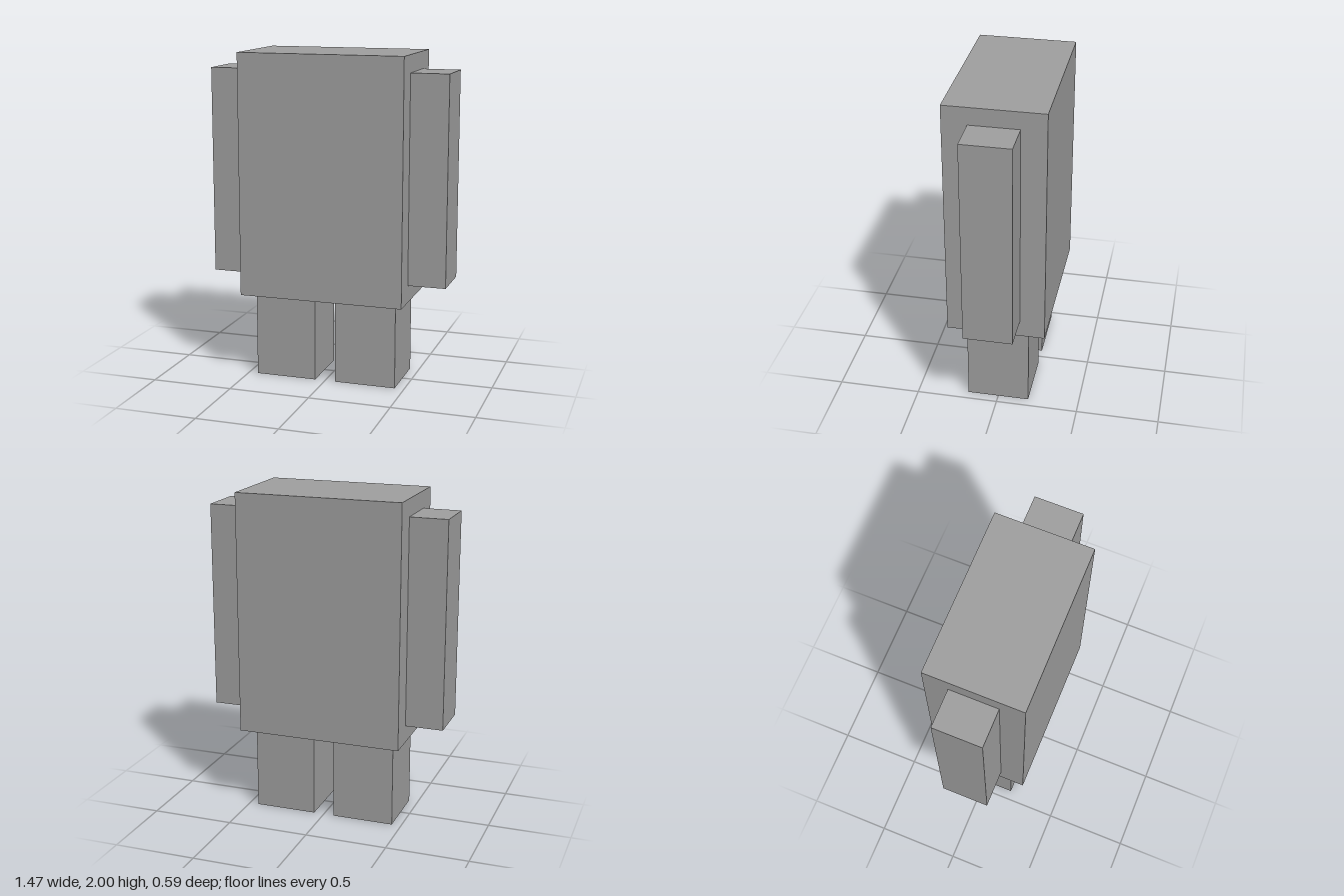
import * as THREE from 'three';

export function createModel() {
  const model = new THREE.Group();
  model.name = 'blockFigure';
  const grey = new THREE.MeshStandardMaterial({ color: 0xa0a0a0 });
  grey.name = 'plain grey';

  // Box given by its size, its bottom height and its x centre
  const addBox = (name, width, height, depth, x, bottom) => {
    const mesh = new THREE.Mesh(new THREE.BoxGeometry(width, height, depth), grey);
    mesh.name = name;
    mesh.position.set(x, bottom + height / 2, 0);
    model.add(mesh);
  };

  // Body block
  addBox('body', 1.01, 1.47, 0.59, 0, 0.53);

  // Mirrored arms and legs
  for (const [side, sign] of [['left', 1], ['right', -1]]) {
    addBox(side + 'Arm', 0.229, 1.26, 0.294, sign * 0.6195, 0.635);
    addBox(side + 'Leg', 0.378, 0.53, 0.378, sign * 0.253, 0);
  }
  return model;
}
